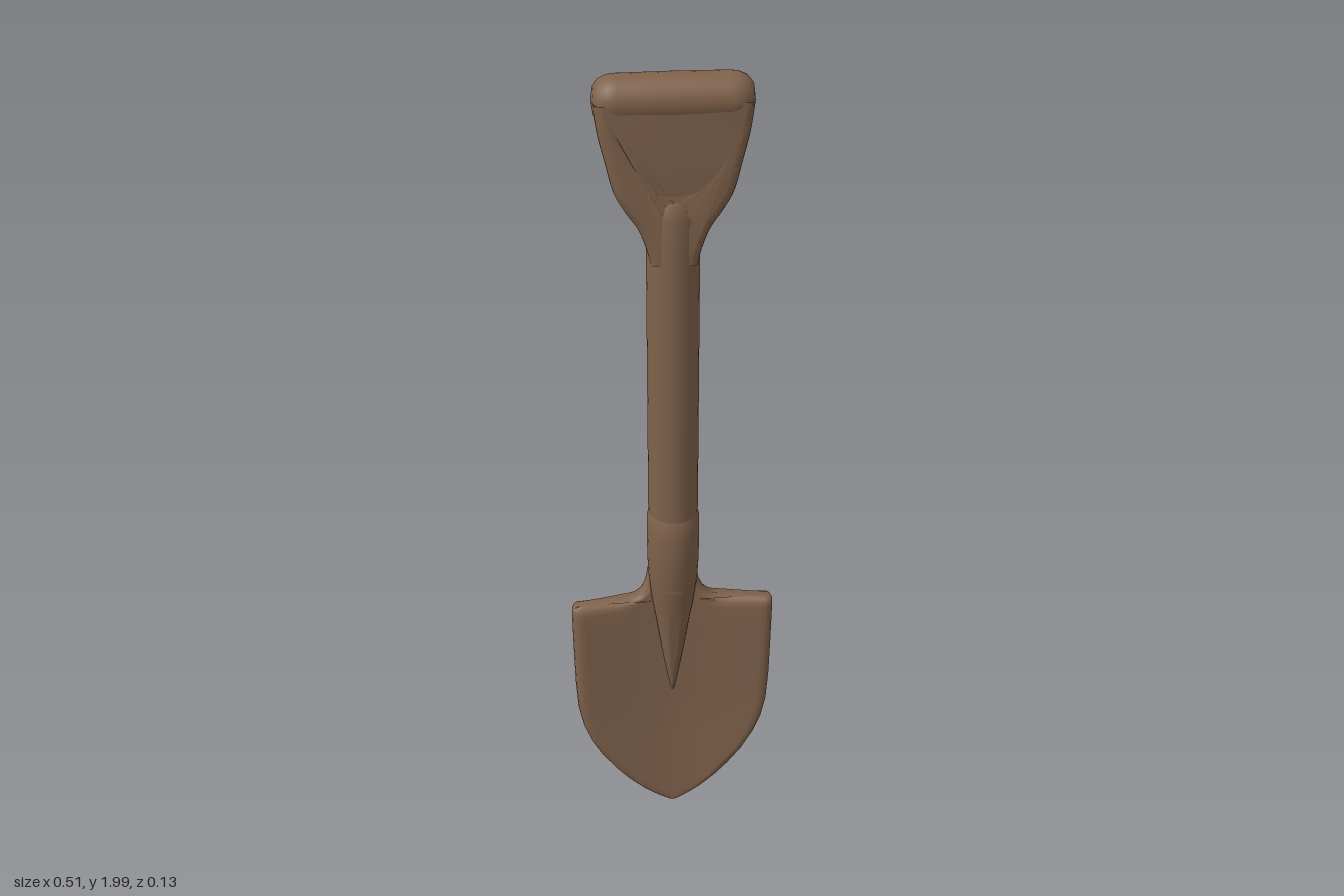
import * as THREE from 'three';
import { mergeVertices, toCreasedNormals } from 'three/addons/utils/BufferGeometryUtils.js';

const brown = new THREE.MeshStandardMaterial({ color: 0x80624b });
brown.name = 'brown';

// Skin a stack of closed rings, point(row, angle) -> [x, y, z], rows rising in y
function loft(rows, sides, point) {
  const pos = [], index = [];
  rows.forEach((row) => {
    for (let j = 0; j < sides; j++) pos.push(...point(row, (j / sides) * Math.PI * 2));
  });
  for (let i = 0; i < rows.length - 1; i++) {
    for (let j = 0; j < sides; j++) {
      const a = i * sides + j, b = i * sides + (j + 1) % sides;
      index.push(a, a + sides, b, b, a + sides, b + sides);
    }
  }
  const g = new THREE.BufferGeometry();
  g.setAttribute('position', new THREE.Float32BufferAttribute(pos, 3));
  g.setIndex(index);
  return toCreasedNormals(g, 1.0);
}

// Dished blade: rows of [y, half width], thick rounded rim, bulging back
function bladeGeometry() {
  const top = 0.662;
  const rows = [
    [0.008, 0.002], [0.016, 0.022], [0.03, 0.046], [0.055, 0.08], [0.09, 0.117], [0.13, 0.151],
    [0.18, 0.187], [0.23, 0.214], [0.28, 0.233], [0.34, 0.245], [0.42, 0.25], [0.52, 0.252],
    [0.6, 0.253], [0.635, 0.253], [0.648, 0.253], [0.656, 0.249], [0.66, 0.24],
    [top, 0.115], [0.67, 0.095], [0.685, 0.079], [0.71, 0.067], [0.76, 0.058],
  ];
  return loft(rows, 48, ([y, w], a) => {
    const x = w * Math.cos(a), s = Math.abs(x) / 0.25;
    const shoulder = THREE.MathUtils.smoothstep(Math.abs(x), 0.07, 0.11);
    const toTop = THREE.MathUtils.lerp(1, Math.max(0, top - y), shoulder);
    const k = Math.min(1, Math.max(0, Math.min(w - Math.abs(x), toTop)) / 0.022);
    const half = (0.023 + 0.004 * s) * Math.sqrt(1 - (1 - k) ** 2);
    const mid = -0.033 + 0.02 * s ** 1.5 + 0.01 * Math.max(0, 1 - y / 0.3);
    return [x, y, mid + half * Math.sign(Math.round(Math.sin(a) * 1e6))];
  });
}

// Socket: sleeve round the shaft that narrows to a point on the blade front
function socketGeometry() {
  // [y, half width, front z, back z]
  const rows = [
    [0.36, 0.003, -0.014, -0.03], [0.42, 0.012, 0.0, -0.035], [0.5, 0.025, 0.016, -0.04],
    [0.6, 0.04, 0.034, -0.045], [0.68, 0.053, 0.048, -0.053], [0.74, 0.06, 0.057, -0.058],
    [0.8, 0.063, 0.065, -0.064], [0.88, 0.064, 0.066, -0.066], [0.92, 0.063, 0.063, -0.062],
    [0.94, 0.056, 0.054, -0.054],
  ];
  return loft(rows, 28, ([y, w, front, back], a) => [
    w * Math.cos(a), y, (front + back) / 2 + ((front - back) / 2) * Math.sin(a),
  ]);
}

// Forked yoke with the hand opening
function yokeGeometry() {
  const right = [[0.052, 1.58], [0.062, 1.62], [0.08, 1.665], [0.107, 1.705], [0.131, 1.75],
    [0.149, 1.82], [0.163, 1.88], [0.172, 1.945]];
  const v = ([x, y]) => new THREE.Vector2(x, y);
  const flip = (pts) => pts.map(([x, y]) => [-x, y]).reverse();
  const shape = new THREE.Shape();
  shape.moveTo(...right[0]);
  shape.splineThru(right.slice(1).map(v));
  shape.lineTo(-0.172, 1.945);
  shape.splineThru(flip(right).slice(1).map(v));
  shape.closePath();

  const hole = new THREE.Path();
  const inner = [[0, 1.767], [0.035, 1.773], [0.065, 1.798], [0.09, 1.835], [0.108, 1.87], [0.118, 1.91]];
  hole.moveTo(...inner[0]);
  hole.splineThru(inner.slice(1).map(v));
  hole.lineTo(-0.118, 1.91);
  hole.splineThru(flip(inner).slice(1).map(v));
  shape.holes.push(hole);

  const bevel = 0.022;
  let g = new THREE.ExtrudeGeometry(shape, {
    depth: 0.05, curveSegments: 20, bevelEnabled: true, bevelSegments: 5,
    bevelSize: bevel, bevelThickness: 0.027, bevelOffset: -bevel,
  });
  g.translate(0, 0, -0.025);
  g.deleteAttribute('normal');
  g.deleteAttribute('uv');
  g = mergeVertices(g, 1e-4);
  return toCreasedNormals(g, 0.9);
}

// Grip: bar along x with softened ends
function gripGeometry() {
  const half = [[0.056, 0.0], [0.055, 0.12], [0.053, 0.14], [0.045, 0.158], [0.03, 0.17], [0, 0.175]];
  const profile = [...half.slice(1).map(([r, t]) => [r, -t]).reverse(), ...half];
  const g = new THREE.LatheGeometry(profile.map(([r, t]) => new THREE.Vector2(r, t)), 28);
  g.rotateZ(Math.PI / 2);
  g.translate(0, 1.944, 0);
  return g;
}

export function createModel() {
  const model = new THREE.Group();
  model.name = 'shovel';
  const add = (name, geometry) => {
    const mesh = new THREE.Mesh(geometry, brown);
    mesh.name = name;
    model.add(mesh);
  };

  add('blade', bladeGeometry());
  add('socket', socketGeometry());

  // Shaft, swelling slightly where it enters the yoke
  const shaft = [[0, 0.72], [0.055, 0.72], [0.06, 0.95], [0.06, 1.62], [0.06, 1.69],
    [0.056, 1.725], [0.045, 1.742], [0, 1.75]];
  add('shaft', toCreasedNormals(
    new THREE.LatheGeometry(shaft.map(([r, y]) => new THREE.Vector2(r, y)), 32), 0.9));

  add('yoke', yokeGeometry());
  add('grip', gripGeometry());
  return model;
}
